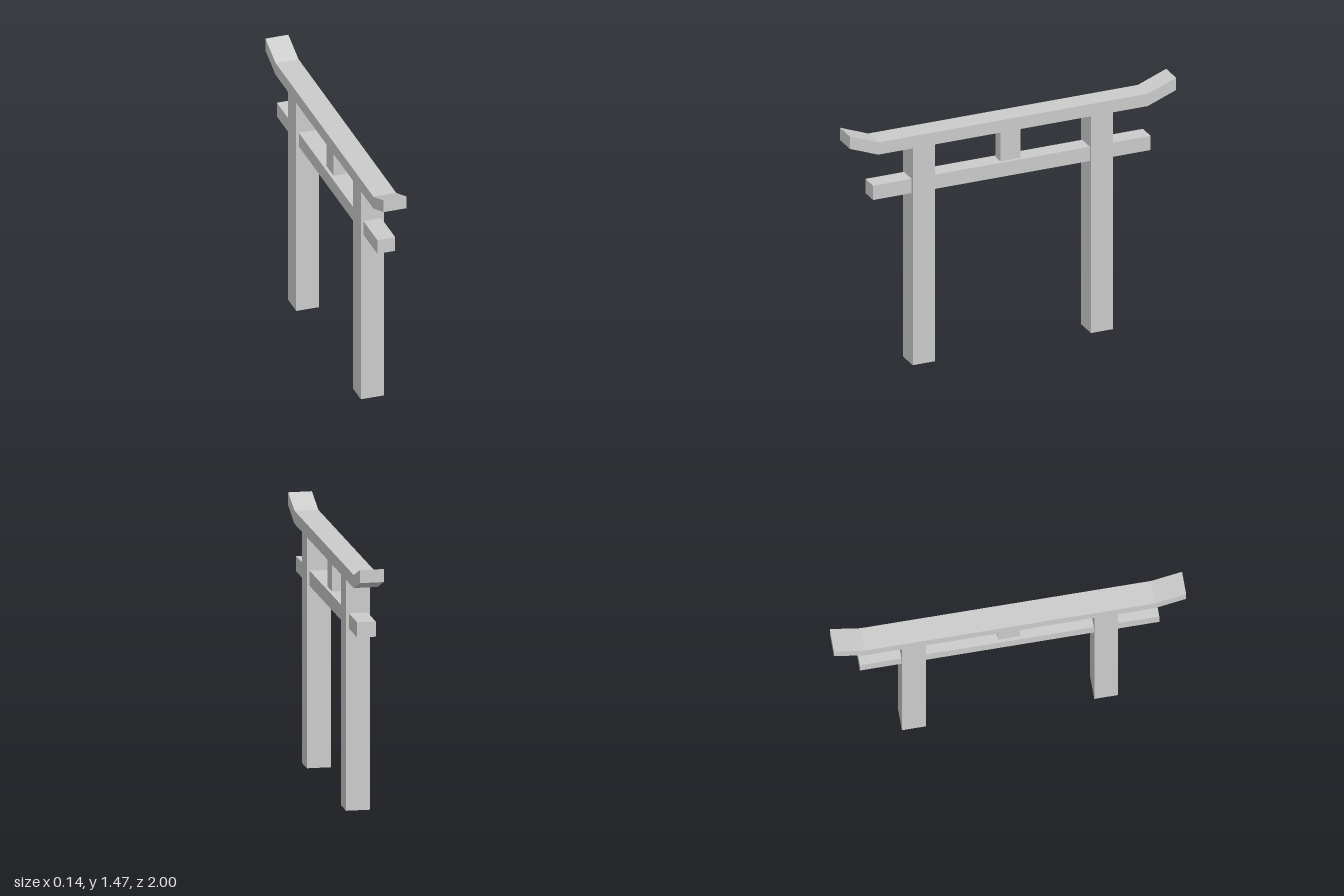
import * as THREE from 'three';

const material = new THREE.MeshStandardMaterial({ color: 0xcccccc, flatShading: true });

// Box spanning y0..y1, centred on x = 0 and on the given z
function block(name, width, y0, y1, depth, z = 0) {
  const mesh = new THREE.Mesh(new THREE.BoxGeometry(width, y1 - y0, depth), material);
  mesh.name = name;
  mesh.position.set(0, (y0 + y1) / 2, z);
  return mesh;
}

export function createModel() {
  const group = new THREE.Group();
  group.name = 'gateway';

  const width = 0.136;
  const lintelBottom = 1.325, lintelTop = 1.4;
  const beamBottom = 1.046, beamTop = 1.133;

  // Two square posts
  for (const side of [1, -1]) {
    group.add(block(side > 0 ? 'frontPost' : 'backPost', width, 0, lintelBottom, 0.136, side * 0.546));
  }

  // Tie beam through the posts and the short strut above it
  group.add(block('tieBeam', 0.106, beamBottom, beamTop, 1.7));
  group.add(block('centreStrut', 0.07, beamTop, lintelBottom, 0.123));

  // Top lintel with upswept ends: side profile extruded across the width
  const bend = 0.826, rise = 0.067;
  const profile = new THREE.Shape([
    [-1, lintelBottom + rise], [-bend, lintelBottom], [bend, lintelBottom], [1, lintelBottom + rise],
    [1, lintelTop + rise], [bend, lintelTop], [-bend, lintelTop], [-1, lintelTop + rise],
  ].map(([z, y]) => new THREE.Vector2(z, y)));
  const geometry = new THREE.ExtrudeGeometry(profile, { depth: width, bevelEnabled: false });
  geometry.translate(0, 0, -width / 2);
  geometry.rotateY(-Math.PI / 2);
  const lintel = new THREE.Mesh(geometry, material);
  lintel.name = 'topLintel';
  group.add(lintel);

  return group;
}
